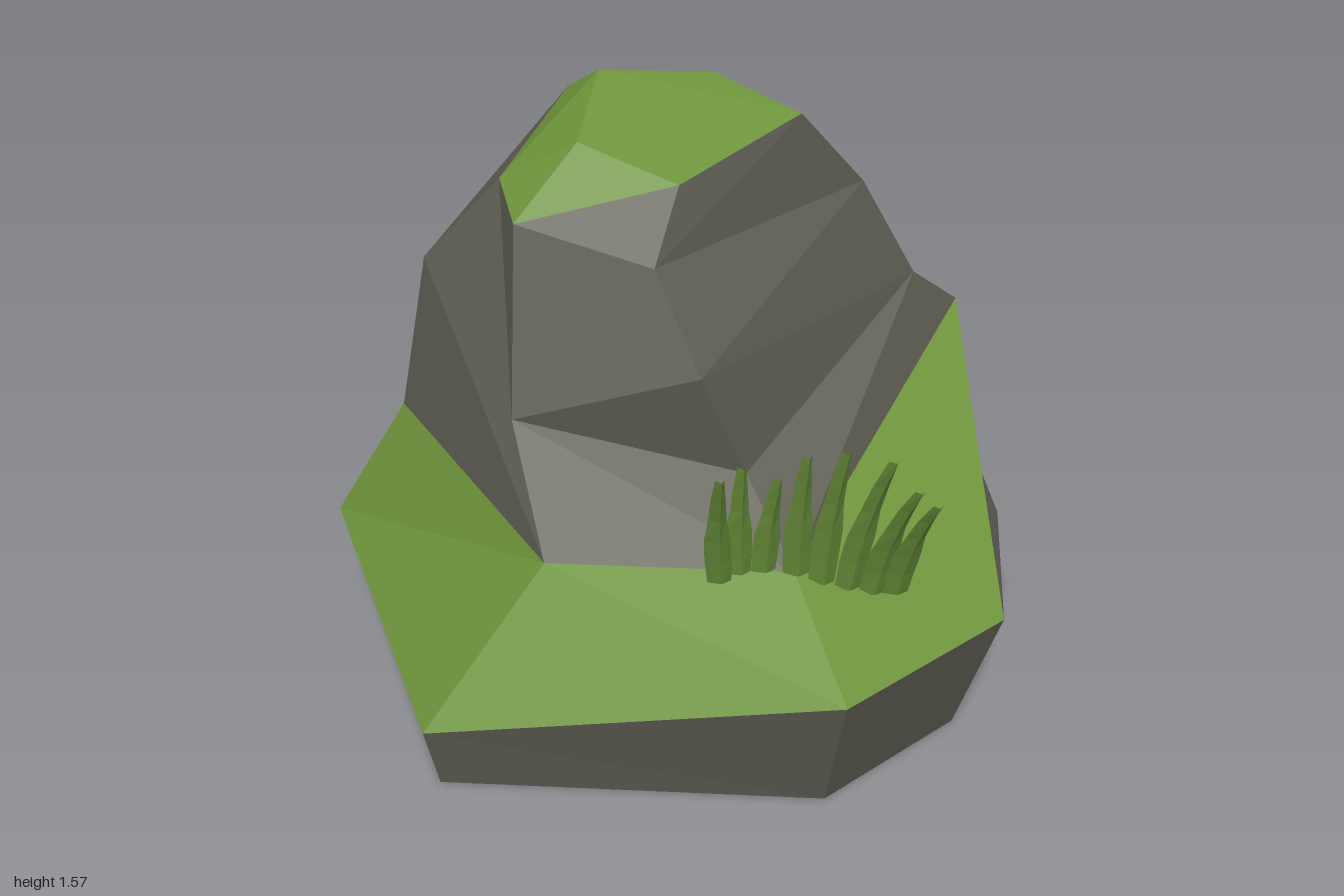
import * as THREE from 'three';

const rockMat = new THREE.MeshStandardMaterial({ color: 0x5f5f55, flatShading: true });
const mossMat = new THREE.MeshStandardMaterial({ color: 0x6e943c, flatShading: true });
const grassMat = new THREE.MeshStandardMaterial({ color: 0x628636, flatShading: true, side: THREE.DoubleSide });

// Named corners of the boulder, ring by ring from the ground up
const P = {
  // footprint
  a0: [-0.905, 0, 0.385], b0: [-0.07, 0, 0.88], c0: [0.385, 0, 0.775], p0: [0.87, 0, 0.32],
  e0: [0.87, 0, -0.19], f0: [0.16, 0, -0.69], g0: [-0.78, 0, -0.6],
  // outer rim of the base
  A: [-0.95, 0.2, 0.42], B: [-0.095, 0.38, 1], C: [0.44, 0.38, 0.88], D: [0.84, 0.82, 0.03],
  E: [0.95, 0.46, -0.16], F: [0.205, 0.35, -1], G: [-0.83, 0.21, -0.64], R: [0.81, 0.285, 0.35],
  // foot of the upper rock
  H: [0.58, 0.725, -0.61], J: [-0.13, 0.64, -0.79], L: [-0.65, 0.59, -0.5],
  M: [-0.61, 0.6, 0.42], N: [-0.06, 0.56, 0.68],
  // waist and shoulders
  s1: [-0.23, 1.24, 0.265], s2: [-0.19, 1.01, 0.435], s3: [-0.07, 0.72, 0.45],
  q1: [0.5, 1.25, 0.04], q2: [0.66, 0.96, 0.07], v: [-0.565, 0.84, 0.13], w: [-0.58, 1.06, -0.43],
  k: [0.33, 0.95, -0.7], x1: [0.08, 1.07, -0.55], x2: [0.35, 1.12, -0.535],
  // edge of the cap
  o1: [-0.13, 1.46, -0.46], o2: [0.31, 1.35, -0.46], o3: [0.285, 1.485, 0.07],
  o4: [-0.125, 1.41, 0.19], o5: [-0.485, 1.305, 0], o6: [-0.44, 1.345, -0.2],
  // summit
  t1: [-0.13, 1.565, -0.26], t2: [0.16, 1.54, -0.17], t3: [-0.295, 1.475, -0.03],
};

// Flat facets from strings of corner names, each turned to face away from the core
function facets(name, faces, material) {
  const core = new THREE.Vector3(0, 0.5, 0);
  const pos = [];
  for (const face of faces) {
    const pts = face.split(' ').map((n) => new THREE.Vector3(...P[n]));
    for (let i = 1; i < pts.length - 1; i++) {
      const tri = new THREE.Triangle(pts[0], pts[i], pts[i + 1]);
      const out = tri.getMidpoint(new THREE.Vector3()).sub(core);
      const flip = tri.getNormal(new THREE.Vector3()).dot(out) < 0;
      const order = flip ? [tri.a, tri.c, tri.b] : [tri.a, tri.b, tri.c];
      order.forEach((p) => pos.push(p.x, p.y, p.z));
    }
  }
  const geo = new THREE.BufferGeometry();
  geo.setAttribute('position', new THREE.Float32BufferAttribute(pos, 3));
  geo.computeVertexNormals();
  const mesh = new THREE.Mesh(geo, material);
  mesh.name = name;
  return mesh;
}

// A folded blade: broad and upright at the root, curling out to a narrow tip
function blade(root, tip, width, yaw) {
  const a = new THREE.Vector3(...root), c = new THREE.Vector3(...tip);
  const mid = a.clone().lerp(c, 0.5);
  mid.z -= (c.z - a.z) * 0.3;
  const curve = new THREE.QuadraticBezierCurve3(a, mid, c);
  const geo = new THREE.PlaneGeometry(1, 1, 2, 5);
  const pos = geo.attributes.position;
  const taper = [1, 1.1, 1.08, 0.75, 0.6, 0.36];
  for (let i = 0; i < pos.count; i++) {
    const row = Math.round((pos.getY(i) + 0.5) * 5);
    const side = pos.getX(i) * width * taper[row];
    const fold = pos.getX(i) === 0 ? 0.015 : 0;
    const p = curve.getPoint(row / 5);
    pos.setXYZ(i, p.x + side * Math.cos(yaw), p.y, p.z + side * Math.sin(yaw) + fold);
  }
  geo.computeVertexNormals();
  const mesh = new THREE.Mesh(geo, grassMat);
  mesh.name = 'grassBlade';
  return mesh;
}

function tuft(name, blades, width, yaw) {
  const group = new THREE.Group();
  group.name = name;
  blades.forEach(([root, tip]) => group.add(blade(root, tip, width, yaw)));
  return group;
}

export function createModel() {
  const model = new THREE.Group();
  model.name = 'mossyBoulder';

  model.add(facets('rockBase', [
    'a0 b0 c0 p0 e0 f0 g0',
    'A B b0 a0', 'B C c0 b0', 'C R p0 c0', 'R E e0 p0', 'E F f0 e0', 'F G g0 f0', 'G A a0 g0',
    'C D E R', 'E F H',
  ], rockMat));

  model.add(facets('upperRock', [
    'o3 o4 s1 q1', 's2 s1 q1 q2', 's2 q2 s3', 'q2 D N s3',
    's1 o4 o5 v s2', 's2 s3 v', 'v s3 N M',
    'v o5 o6 w', 'w L M v',
    'o1 o2 x2 x1', 'x1 x2 k', 'x1 k J', 'x1 J L w', 'o1 x1 w o6', 'k H J',
    'o2 o3 q1 x2', 'x2 q1 q2 k', 'D q2 k E', 'k H E',
  ], rockMat));

  model.add(facets('mossLedge', ['N D C B', 'B N M A', 'G L M A', 'G F J L', 'F H J'], mossMat));

  model.add(facets('mossCap', [
    't1 t2 o3 o4 t3', 't3 o4 o5', 't3 o5 o6 t1', 't1 o6 o1', 't1 o1 o2 t2', 't2 o2 o3',
  ], mossMat));

  // Two tufts of grass on the front ledge
  model.add(tuft('leftGrassTuft', [
    [[-0.24, 0.56, 0.63], [-0.285, 0.905, 0.71]],
    [[-0.185, 0.565, 0.625], [-0.2, 0.89, 0.66]],
    [[-0.13, 0.57, 0.65], [-0.125, 0.86, 0.7]],
  ], 0.06, 0.3));
  model.add(tuft('rightGrassTuft', [
    [[-0.055, 0.555, 0.68], [-0.065, 0.92, 0.73]],
    [[0.0, 0.53, 0.71], [0.005, 0.945, 0.79]],
    [[0.06, 0.51, 0.735], [0.09, 0.935, 0.86]],
    [[0.12, 0.49, 0.755], [0.14, 0.86, 0.9]],
    [[0.175, 0.485, 0.775], [0.18, 0.82, 0.92]],
  ], 0.065, 0.35));

  return model;
}
